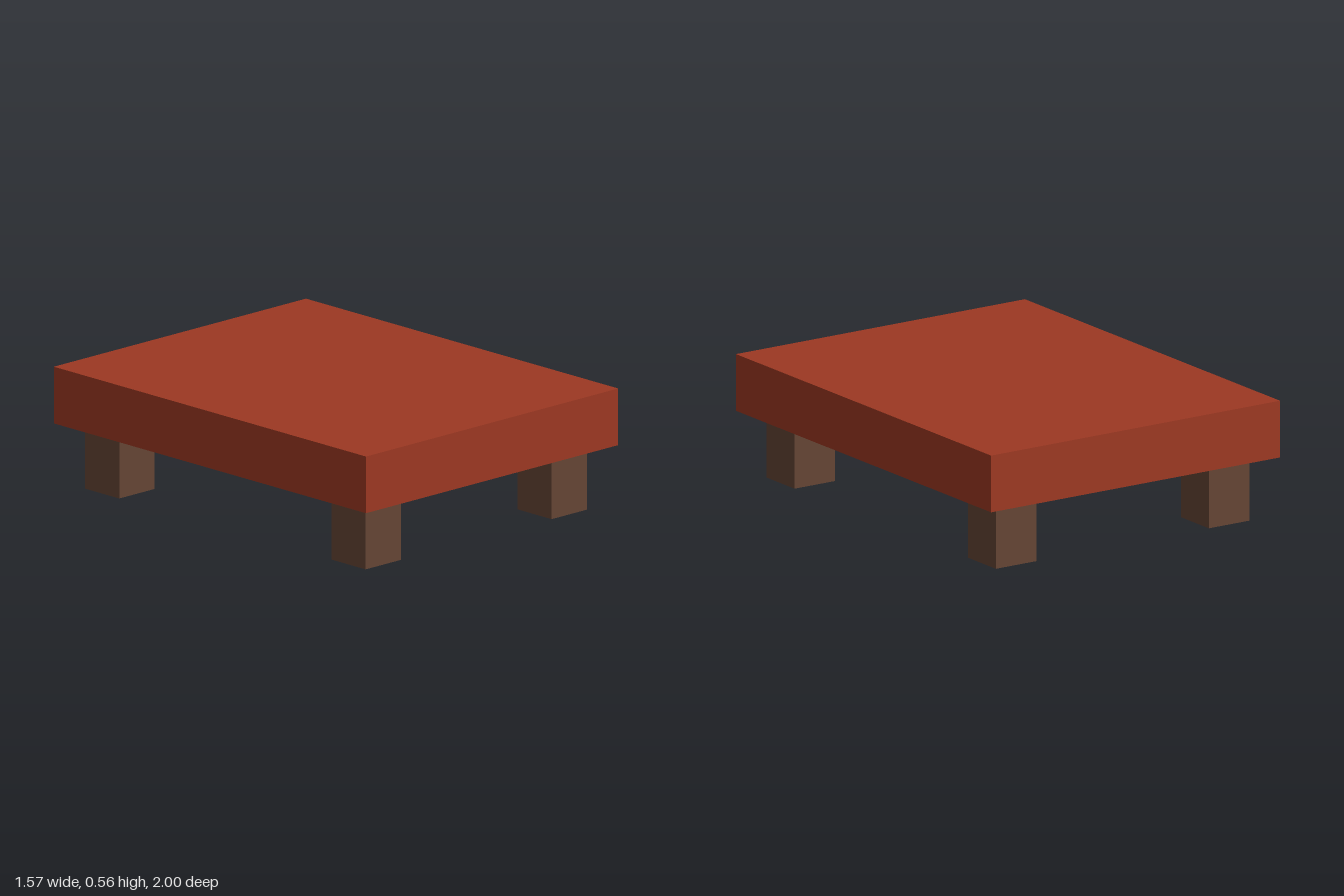
import * as THREE from 'three';

// Box standing on y = 0 with its underside left open
function openBox(w, h, d) {
  const geo = new THREE.BoxGeometry(w, h, d).translate(0, h / 2, 0);
  const index = Array.from(geo.index.array);
  index.splice(18, 6); // drop the -y face
  geo.setIndex(index);
  geo.clearGroups();
  return geo;
}

export function createModel() {
  const red = new THREE.MeshStandardMaterial({ color: 0x9c3822, side: THREE.DoubleSide });
  red.name = 'red wood';
  const brown = new THREE.MeshStandardMaterial({ color: 0x644434, side: THREE.DoubleSide });
  brown.name = 'brown wood';

  const group = new THREE.Group();
  group.name = 'lowTable';

  // Table top: hollow shell open below
  const top = new THREE.Mesh(openBox(1.565, 0.263, 2), red);
  top.name = 'tableTop';
  top.position.y = 0.301;
  group.add(top);

  // Four legs reaching halfway up inside the top
  const legGeo = openBox(0.22, 0.432, 0.22);
  for (const [sx, side] of [[1, 'Left'], [-1, 'Right']]) {
    for (const [sz, end] of [[1, 'front'], [-1, 'back']]) {
      const leg = new THREE.Mesh(legGeo, brown);
      leg.name = `${end}${side}Leg`;
      leg.position.set(sx * 0.577, 0, sz * 0.789);
      group.add(leg);
    }
  }
  return group;
}
